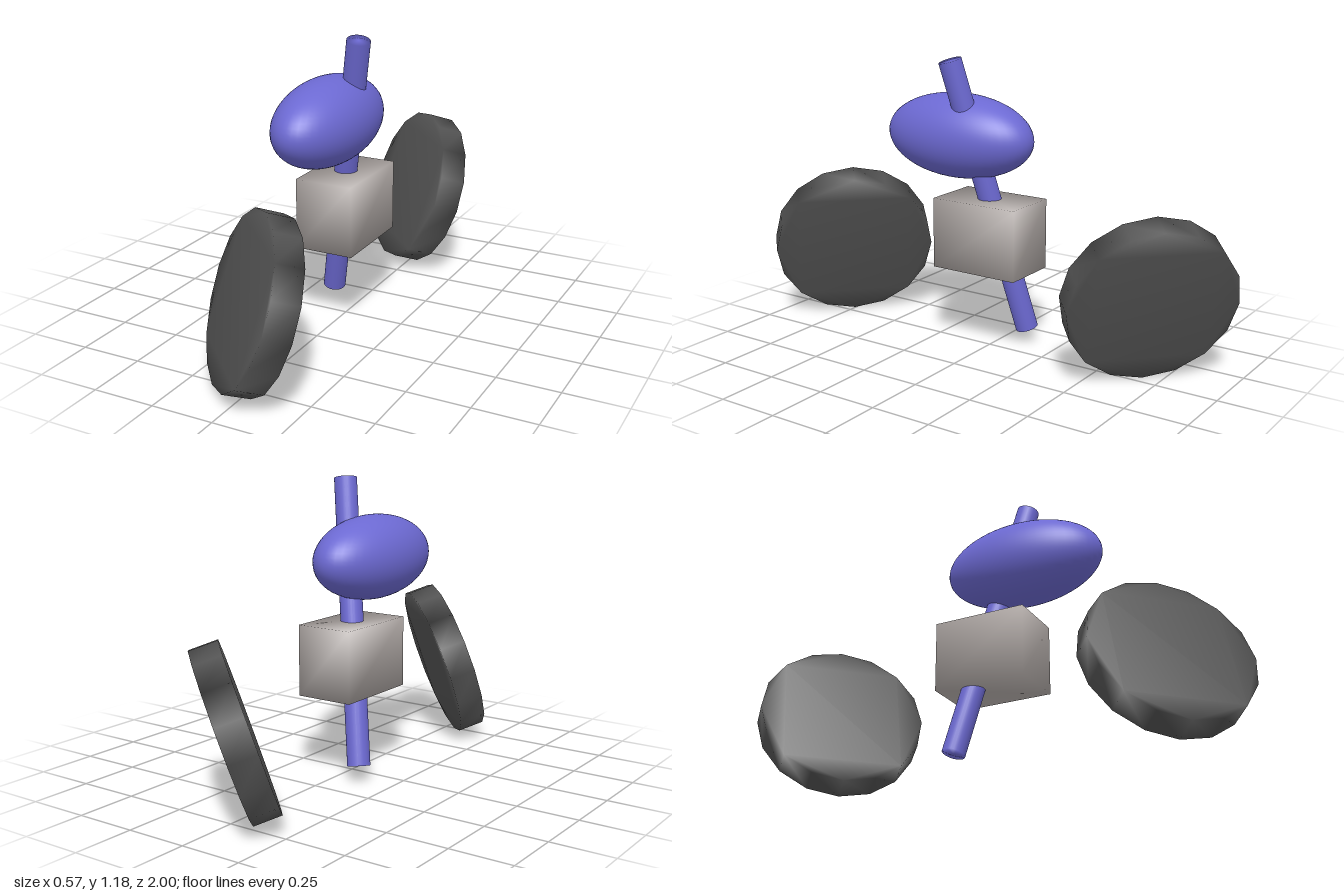
import * as THREE from 'three';
import { mergeVertices } from 'three/addons/utils/BufferGeometryUtils.js';

// Shares all vertices so that shading flows softly over the edges
function soften(geometry) {
  geometry.deleteAttribute('uv');
  geometry.deleteAttribute('normal');
  const merged = mergeVertices(geometry, 1e-4);
  merged.clearGroups();
  merged.computeVertexNormals();
  return merged;
}

export function createModel() {
  const model = new THREE.Group();
  const paint = (name, color) => new THREE.MeshStandardMaterial({ name, color });
  const blue = paint('blue', 0x6c69d2);
  const rubber = paint('dark rubber', 0x525252);
  const grey = paint('warm grey', 0xaca5a2);

  function add(name, geometry, material, x, y, z) {
    const mesh = new THREE.Mesh(geometry, material);
    mesh.name = name;
    mesh.position.set(x, y, z);
    model.add(mesh);
    return mesh;
  }

  // Engine block
  add('engineBlock', soften(new THREE.BoxGeometry(0.24, 0.285, 0.38)), grey, 0, 0.477, 0);

  // Egg-shaped tank, long along z
  const tank = new THREE.SphereGeometry(1, 48, 32);
  tank.scale(0.17, 0.17, 0.333);
  add('tank', tank, blue, 0, 0.86, 0.143);

  // Slanted rod running through the block and the tank
  const rodEnd = new THREE.Vector3(0.11, 0.553, 0.11);
  const rod = add('rod', soften(new THREE.CylinderGeometry(0.046, 0.046, 2 * rodEnd.length(), 24)),
    blue, 0, 0.62, 0);
  rod.quaternion.setFromUnitVectors(new THREE.Vector3(0, 1, 0), rodEnd.clone().normalize());

  // Tilted disc wheels, front and back
  const sides = 16, radius = 0.333, thickness = 0.11;
  const outline = Array.from({ length: sides }, (_, i) => {
    const a = (i / sides) * Math.PI * 2;
    return new THREE.Vector2(Math.cos(a) * radius, Math.sin(a) * radius);
  });
  const disc = new THREE.ExtrudeGeometry(new THREE.Shape(outline),
    { depth: thickness, bevelEnabled: false });
  disc.translate(0, 0, -thickness / 2);
  const wheel = soften(disc);
  const axle = new THREE.Vector3(-0.67, 0.32, 0.67);
  for (const [name, z] of [['frontWheel', 0.715], ['backWheel', -0.715]]) {
    add(name, wheel, rubber, 0, 0.335, z).lookAt(axle.clone().add(new THREE.Vector3(0, 0.335, z)));
  }

  return model;
}
